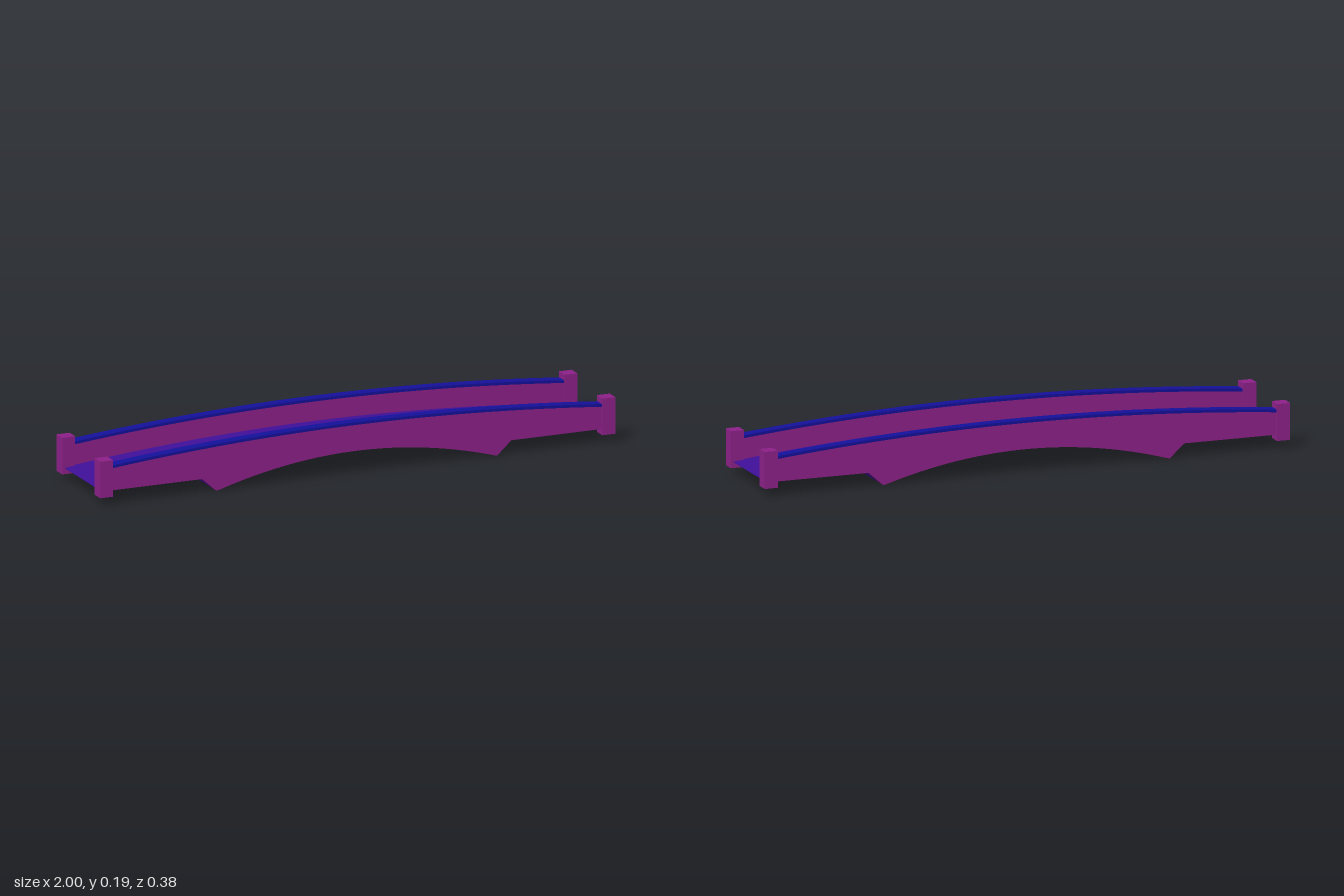
import * as THREE from 'three';
import { toCreasedNormals } from 'three/addons/utils/BufferGeometryUtils.js';

const STEPS = 40;

// parabolic crown: height at the middle, height at x = half
const arc = (mid, end, half) => (x) => mid + (end - mid) * (x / half) ** 2;
const deckTop = arc(0.108, 0.052, 0.99);
const railTop = arc(0.19, 0.142, 0.96);
const soffit = arc(0.083, 0.002, 0.535);

// points along a curve from x = a to x = b
function sample(fn, a, b) {
  return Array.from({ length: STEPS + 1 }, (_, i) => {
    const x = a + ((b - a) * i) / STEPS;
    return new THREE.Vector2(x, fn(x));
  });
}

// underside: level ends, pointed abutment feet and the arch between them
function underside(half) {
  const v = (x, y) => new THREE.Vector2(x, y);
  return [
    v(-half, 0.05), v(-0.6, 0.05), v(-0.545, 0),
    ...sample(soffit, -0.535, 0.535),
    v(0.545, 0), v(0.6, 0.05), v(half, 0.05),
  ];
}

// extrude a side profile across z from z0 to z1
function slab(name, points, z0, z1, material) {
  const raw = new THREE.ExtrudeGeometry(new THREE.Shape(points), {
    depth: z1 - z0, bevelEnabled: false,
  });
  raw.translate(0, 0, z0);
  const mesh = new THREE.Mesh(toCreasedNormals(raw, 0.4), material);
  mesh.name = name;
  return mesh;
}

export function createModel() {
  const group = new THREE.Group();
  group.name = 'archedBridge';
  const deckMat = new THREE.MeshStandardMaterial({ color: 0x3f0f98 });
  const wallMat = new THREE.MeshStandardMaterial({ color: 0x8c2088 });
  const capMat = new THREE.MeshStandardMaterial({ color: 0x14109a });

  // roadway with the arch below it
  group.add(slab('deck', [...underside(0.99), ...sample(deckTop, 0.99, -0.99)], -0.15, 0.15, deckMat));

  for (const side of [-1, 1]) {
    const across = (a, b) => (side > 0 ? [a, b] : [-b, -a]);
    const name = side > 0 ? 'front' : 'back';

    // side wall from the underside up to the coping
    const wallTop = (x) => railTop(x) - 0.01;
    group.add(slab(name + 'Parapet',
      [...underside(0.96), ...sample(wallTop, 0.96, -0.96)], ...across(0.147, 0.181), wallMat));

    // coping along the top of the wall
    group.add(slab(name + 'Coping',
      [...sample(wallTop, -0.96, 0.96), ...sample(railTop, 0.96, -0.96)], ...across(0.145, 0.185), capMat));

    // end posts
    for (const end of [-1, 1]) {
      const post = new THREE.Mesh(new THREE.BoxGeometry(0.05, 0.135, 0.05), wallMat);
      post.position.set(end * 0.975, 0.0965, side * 0.165);
      post.name = name + (end > 0 ? 'Left' : 'Right') + 'Post';
      group.add(post);
    }
  }
  return group;
}
